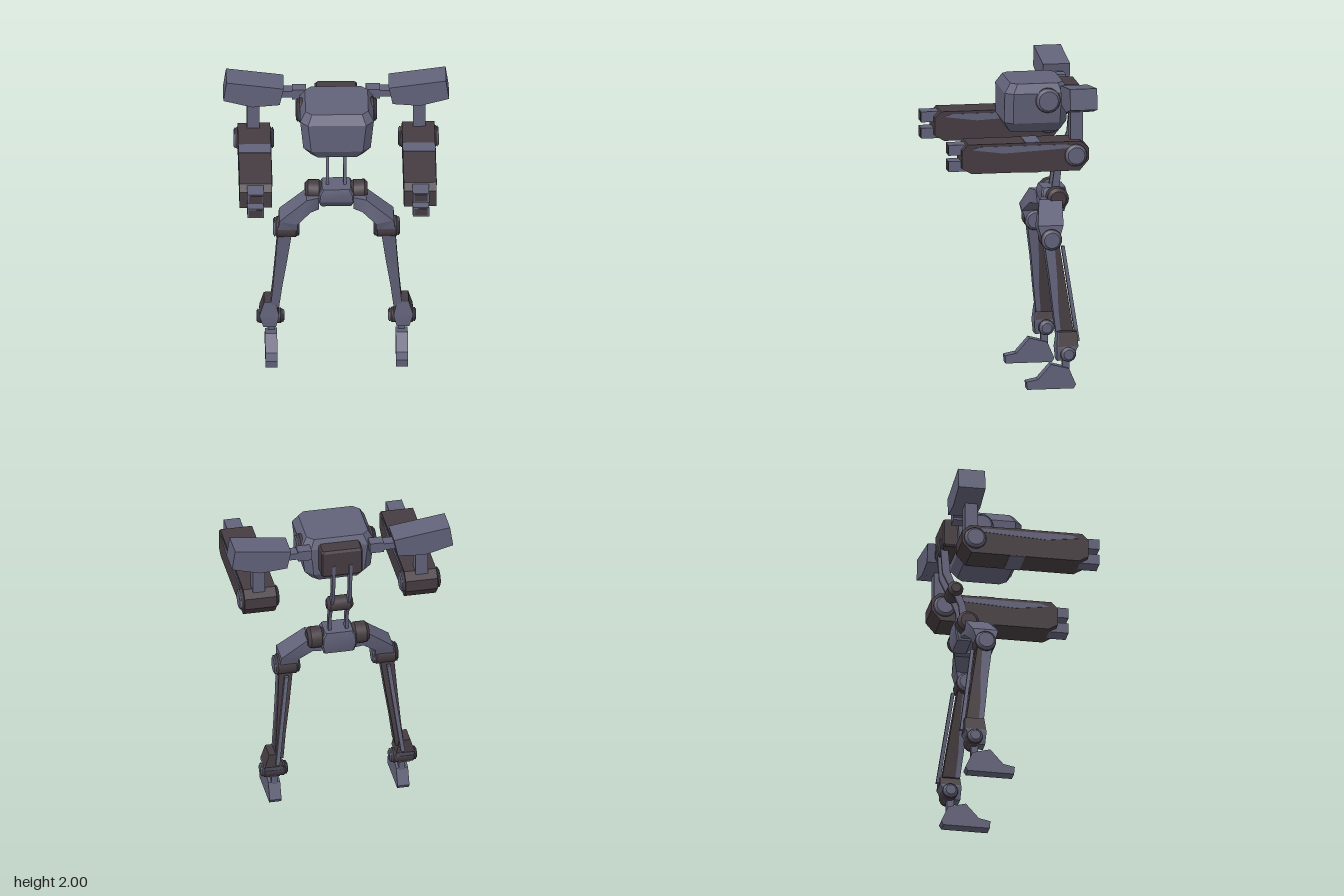
import * as THREE from 'three';
import { toCreasedNormals } from 'three/addons/utils/BufferGeometryUtils.js';

const blue = new THREE.MeshStandardMaterial({ color: 0x62637a });
blue.name = 'slateBlue';
const brown = new THREE.MeshStandardMaterial({ color: 0x453c41 });
brown.name = 'darkBrown';

// Box given by its limits on each axis
function box(x0, x1, y0, y1, z0, z1) {
  return new THREE.BoxGeometry(x1 - x0, y1 - y0, z1 - z0)
    .translate((x0 + x1) / 2, (y0 + y1) / 2, (z0 + z1) / 2);
}

// Side profile of [z, y] points, extruded from x0 to x1
function sideProfile(points, x0, x1) {
  const shape = new THREE.Shape(points.map(p => new THREE.Vector2(...p)));
  return new THREE.ExtrudeGeometry(shape, { depth: x1 - x0, bevelEnabled: false })
    .rotateY(-Math.PI / 2).translate(x1, 0, 0);
}

// Front profile of [x, y] points, extruded from z0 to z1
function frontProfile(points, z0, z1) {
  const shape = new THREE.Shape(points.map(p => new THREE.Vector2(...p)));
  return new THREE.ExtrudeGeometry(shape, { depth: z1 - z0, bevelEnabled: false }).translate(0, 0, z0);
}

// Solid through matching rings of [x, y, z] points, closed at both ends
function loft(rings) {
  const n = rings[0].length, index = [];
  for (let r = 0; r < rings.length - 1; r++)
    for (let i = 0; i < n; i++) {
      const a = r * n + i, b = r * n + (i + 1) % n;
      index.push(a, a + n, b, b, a + n, b + n);
    }
  const last = (rings.length - 1) * n;
  for (let i = 1; i < n - 1; i++) index.push(0, i, i + 1, last, last + i + 1, last + i);
  const pts = rings.flat().map(p => new THREE.Vector3(...p));
  // turn the faces outward if the rings run the other way
  let volume = 0;
  for (let i = 0; i < index.length; i += 3)
    volume += pts[index[i]].dot(pts[index[i + 1]].clone().cross(pts[index[i + 2]]));
  if (volume < 0) index.reverse();
  const geo = new THREE.BufferGeometry().setFromPoints(pts);
  geo.setIndex(index);
  return geo;
}

// Horizontal rectangular ring
const ring = (y, x0, x1, z0, z1) => [[x0, y, z0], [x1, y, z0], [x1, y, z1], [x0, y, z1]];

// Horizontal rectangular ring with cut corners
function cutRing(y, hw, z0, z1, c) {
  return [[-hw + c, z0], [hw - c, z0], [hw, z0 + c], [hw, z1 - c],
    [hw - c, z1], [-hw + c, z1], [-hw, z1 - c], [-hw, z0 + c]].map(([x, z]) => [x, y, z]);
}

// Barrel along x with bevelled ends
function barrel(x0, x1, y, z, r, bevel = 0.02) {
  const h = (x1 - x0) / 2;
  const profile = [[0, -h], [r - bevel, -h], [r, -h + bevel], [r, h - bevel], [r - bevel, h], [0, h]];
  return new THREE.LatheGeometry(profile.map(p => new THREE.Vector2(...p)), 24)
    .rotateZ(-Math.PI / 2).translate((x0 + x1) / 2, y, z);
}

function mirrored(geo) {
  const out = geo.clone().scale(-1, 1, 1);
  for (const key of ['position', 'normal']) {
    const a = out.attributes[key];
    for (let i = 0; i < a.count; i += 3)
      for (let k = 0; k < 3; k++) {
        const t = a.getComponent(i + 1, k);
        a.setComponent(i + 1, k, a.getComponent(i + 2, k));
        a.setComponent(i + 2, k, t);
      }
  }
  return out;
}

export function createModel() {
  const model = new THREE.Group();
  model.name = 'walker';

  function add(name, geo, mat) {
    for (const key of ['uv', 'normal']) geo.deleteAttribute(key);
    geo.computeVertexNormals();
    const mesh = new THREE.Mesh(toCreasedNormals(geo, 0.5), mat);
    mesh.name = name;
    model.add(mesh);
    return mesh;
  }
  function pair(name, geo, mat) {
    const left = add(name + 'Left', geo, mat);
    const right = new THREE.Mesh(mirrored(left.geometry), mat);
    right.name = name + 'Right';
    model.add(right);
  }
  // Brown barrel with blue discs on its ends, on both sides
  function joint(name, x0, x1, y, z, r) {
    pair(name, barrel(x0, x1, y, z, r), brown);
    pair(name + 'OuterCap', barrel(x1 - 0.015, x1 + 0.004, y, z, r - 0.006, 0.012), blue);
    pair(name + 'InnerCap', barrel(x0 - 0.004, x0 + 0.015, y, z, r - 0.006, 0.012), blue);
  }

  // Head, ears and backpack
  add('head', loft([
    cutRing(1.62, 0.165, -0.32, 0.0, 0.04), cutRing(1.685, 0.215, -0.36, 0.04, 0.05),
    cutRing(1.88, 0.235, -0.37, 0.04, 0.05), cutRing(1.94, 0.2, -0.34, 0.0, 0.04)]), blue);
  joint('ear', 0.18, 0.255, 1.833, -0.232, 0.08);
  add('backpack', loft([
    cutRing(1.72, 0.125, -0.45, -0.35, 0.01), cutRing(1.735, 0.135, -0.46, -0.35, 0.01),
    cutRing(1.895, 0.135, -0.46, -0.35, 0.01), cutRing(1.91, 0.125, -0.45, -0.35, 0.01)]), brown);

  // Shoulder struts and pods
  pair('strutInner', box(0.19, 0.28, 1.84, 1.91, -0.42, -0.345), blue);
  pair('strutOuter', box(0.27, 0.37, 1.855, 1.9, -0.42, -0.345), blue);
  pair('shoulderPod', frontProfile(
    [[0.335, 1.95], [0.36, 1.83], [0.535, 1.815], [0.72, 1.865], [0.7, 2.0]], -0.47, -0.295), blue);
  pair('podPillar', box(0.49, 0.57, 1.6, 1.83, -0.4, -0.32), blue);

  // Arms with a top and bottom band and side streaks
  pair('arm', sideProfile([
    [0.39, 1.49], [0.39, 1.605], [0.35, 1.645], [-0.38, 1.645], [-0.43, 1.6],
    [-0.43, 1.525], [-0.37, 1.455], [0.33, 1.455]], 0.42, 0.628), brown);
  pair('armTopBand', box(0.421, 0.627, 1.644, 1.648, -0.12, -0.02), blue);
  pair('armBottomBand', box(0.421, 0.627, 1.452, 1.456, -0.12, -0.02), blue);
  const streak = [[0.33, 1.61], [0.28, 1.628], [-0.3, 1.628], [-0.32, 1.605], [-0.2, 1.598], [0.12, 1.582]];
  pair('armOuterStreak', sideProfile(streak, 0.627, 0.631), blue);
  pair('armInnerStreak', sideProfile(streak, 0.417, 0.421), blue);
  joint('elbow', 0.4, 0.65, 1.555, -0.345, 0.072);
  for (const [name, y] of [['upper', 1.603], ['lower', 1.497]]) {
    pair(name + 'Barrel', box(0.475, 0.58, y - 0.034, y + 0.034, 0.3, 0.47), blue);
    pair(name + 'Muzzle', box(0.485, 0.57, y - 0.025, y + 0.025, 0.466, 0.472), brown);
  }

  // Spine: twin bent rods above and below a middle joint
  pair('upperSpineRod', sideProfile([
    [-0.35, 1.45], [-0.395, 1.45], [-0.45, 1.56], [-0.467, 1.8], [-0.42, 1.8], [-0.4, 1.57]], 0.045, 0.065), blue);
  pair('lowerSpineRod', sideProfile([
    [-0.34, 1.45], [-0.39, 1.45], [-0.345, 1.34], [-0.33, 1.2], [-0.28, 1.2], [-0.3, 1.34]], 0.045, 0.065), blue);
  add('spineJoint', barrel(-0.085, 0.085, 1.457, -0.365, 0.05), brown);

  // Pelvis and hips
  add('pelvis', loft([
    cutRing(1.08, 0.1, -0.36, -0.27, 0.01), cutRing(1.14, 0.115, -0.375, -0.22, 0.01),
    cutRing(1.2, 0.11, -0.375, -0.21, 0.01), cutRing(1.235, 0.09, -0.37, -0.22, 0.01)]), blue);
  pair('hip', barrel(0.09, 0.2, 1.18, -0.305, 0.07), brown);

  // Thighs curving out and down to the knees
  pair('thigh', loft([
    [[0.11, 1.09, -0.34], [0.11, 1.09, -0.22], [0.11, 1.18, -0.21], [0.11, 1.18, -0.34]],
    [[0.165, 1.09, -0.33], [0.165, 1.09, -0.18], [0.19, 1.18, -0.18], [0.19, 1.18, -0.33]],
    [[0.25, 1.02, -0.3], [0.25, 1.02, -0.145], [0.365, 1.045, -0.145], [0.365, 1.045, -0.31]],
    [[0.25, 0.95, -0.28], [0.25, 0.95, -0.17], [0.375, 0.95, -0.17], [0.375, 0.95, -0.28]]]), blue);
  joint('knee', 0.24, 0.4, 0.955, -0.23, 0.068);

  // Shins: blue front, brown rear, slim rod behind
  pair('shinFront', loft([
    ring(0.93, 0.285, 0.375, -0.25, -0.185), ring(0.7, 0.315, 0.39, -0.265, -0.215),
    ring(0.5, 0.345, 0.405, -0.27, -0.235), ring(0.33, 0.365, 0.42, -0.285, -0.255)]), blue);
  pair('shinRear', loft([
    ring(0.93, 0.285, 0.375, -0.28, -0.25), ring(0.7, 0.315, 0.39, -0.315, -0.265),
    ring(0.5, 0.345, 0.405, -0.345, -0.27), ring(0.33, 0.365, 0.42, -0.37, -0.285)]), brown);
  pair('shinRod', loft([
    ring(0.905, 0.32, 0.345, -0.32, -0.298), ring(0.3, 0.395, 0.42, -0.405, -0.38)]), blue);

  // Ankles
  pair('ankleCuff', loft([
    ring(0.185, 0.385, 0.465, -0.35, -0.25), ring(0.265, 0.365, 0.49, -0.375, -0.245),
    ring(0.28, 0.367, 0.488, -0.385, -0.247)]), blue);
  pair('ankleCuffTop', loft([
    ring(0.28, 0.367, 0.488, -0.385, -0.252), ring(0.37, 0.39, 0.46, -0.38, -0.258)]), brown);
  pair('ankleCuffFront', loft([
    ring(0.28, 0.367, 0.488, -0.255, -0.247), ring(0.37, 0.39, 0.46, -0.262, -0.254)]), blue);
  joint('ankle', 0.335, 0.505, 0.23, -0.32, 0.05);
  pair('ankleShaft', box(0.395, 0.435, 0.1, 0.2, -0.335, -0.29), blue);

  // Feet
  pair('foot', sideProfile([
    [-0.06, 0.0], [-0.055, 0.05], [-0.13, 0.065], [-0.215, 0.16],
    [-0.33, 0.13], [-0.375, 0.025], [-0.36, 0.0]], 0.378, 0.455), blue);

  return model;
}
